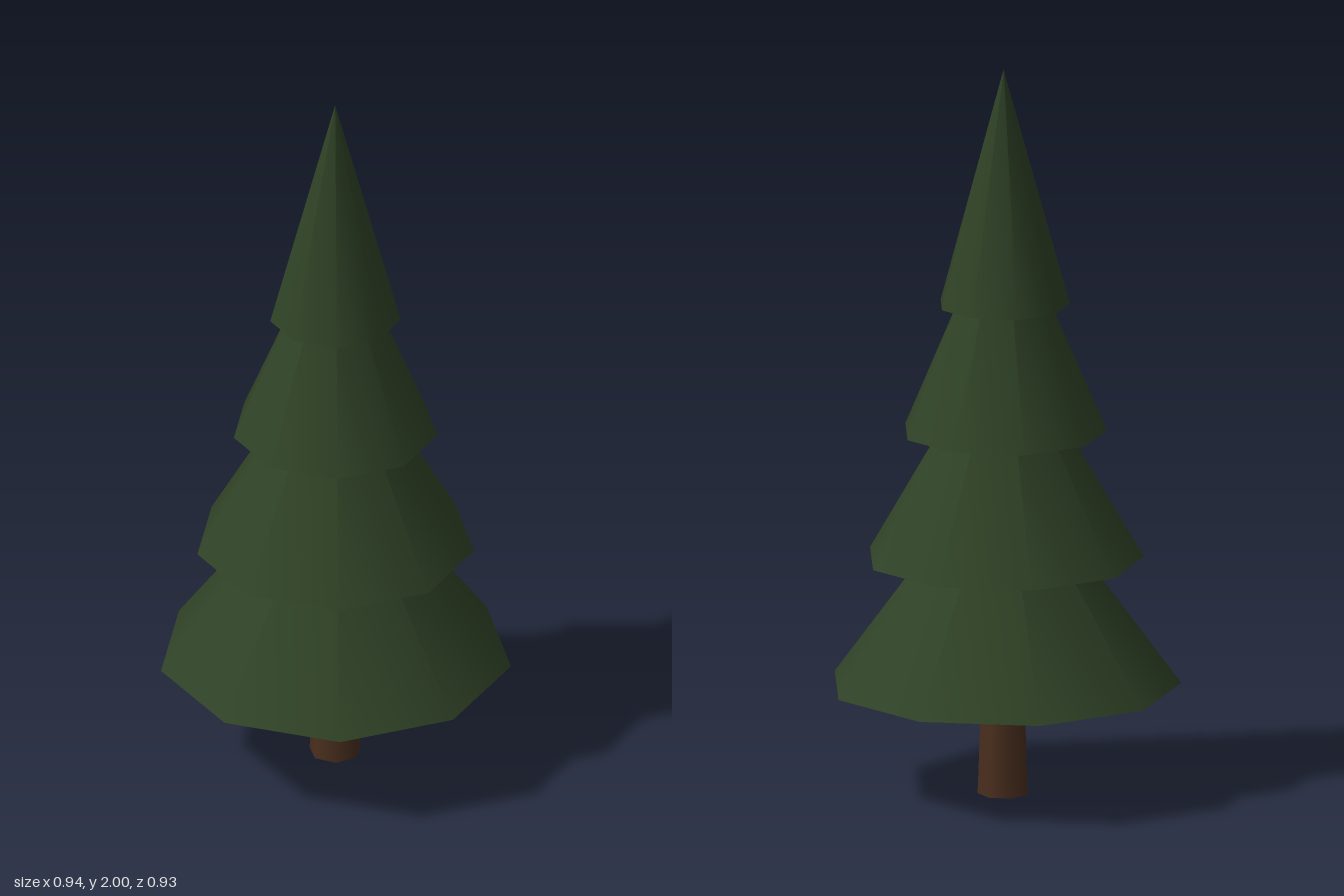
import * as THREE from 'three';

const needles = new THREE.MeshStandardMaterial({ name: 'needle green', color: 0x2f4226 });
const bark = new THREE.MeshStandardMaterial({ name: 'bark brown', color: 0x4a2f1e });

export function createModel() {
  const tree = new THREE.Group();
  tree.name = 'pineTree';

  const add = (name, geometry, material, y) => {
    const mesh = new THREE.Mesh(geometry, material);
    mesh.name = name;
    mesh.position.y = y;
    tree.add(mesh);
  };

  // Seven-sided tapering trunk, running up into the lowest tier
  add('trunk', new THREE.CylinderGeometry(0.055, 0.07, 0.4, 7), bark, 0.2);

  // Four overlapping nine-sided cones, evenly spaced and narrowing upwards
  const height = 0.65;
  for (let i = 0; i < 4; i++) {
    const radius = 0.477 - i * 0.0997;
    const base = 0.3 + i * 0.35;
    add(`foliageTier${i + 1}`, new THREE.ConeGeometry(radius, height, 9), needles, base + height / 2);
  }

  // An odd-sided rim is deeper in front, so shift to centre its bounds
  tree.children.forEach((part) => { part.position.z = -0.0144; });
  return tree;
}
